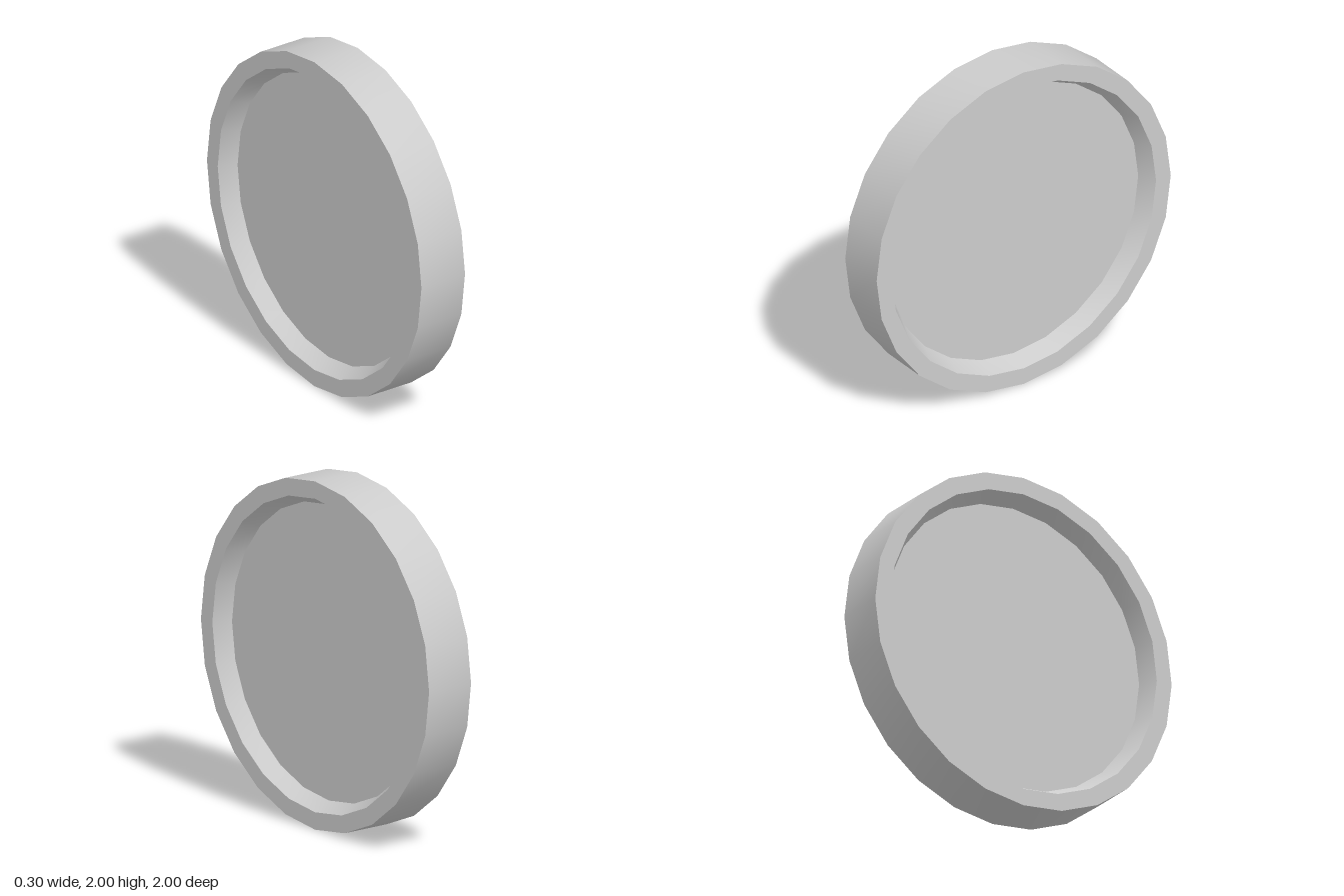
import * as THREE from 'three';
import { toCreasedNormals } from 'three/addons/utils/BufferGeometryUtils.js';

const SIDES = 24;
const RADIUS = 1;
const HALF_WIDTH = 0.15;

export function createModel() {
  const group = new THREE.Group();
  group.name = 'recessedWheel';

  // Half profile (radius, axial offset): recess floor, sloped wall, rim face, tread edge
  const half = [[0, 0.05], [0.85, 0.05], [0.9, HALF_WIDTH], [RADIUS, HALF_WIDTH]];
  const profile = [
    ...half.map(([r, a]) => new THREE.Vector2(r, -a)),
    ...half.slice().reverse().map(([r, a]) => new THREE.Vector2(r, a)),
  ];

  // Smooth around the circumference, sharp at the rim edges
  const geometry = toCreasedNormals(new THREE.LatheGeometry(profile, SIDES), Math.PI / 6);
  geometry.rotateZ(-Math.PI / 2); // axle along x

  const wheel = new THREE.Mesh(geometry, new THREE.MeshStandardMaterial({ color: 0xcccccc }));
  wheel.name = 'wheelDisc';
  wheel.position.y = RADIUS;
  group.add(wheel);

  return group;
}
